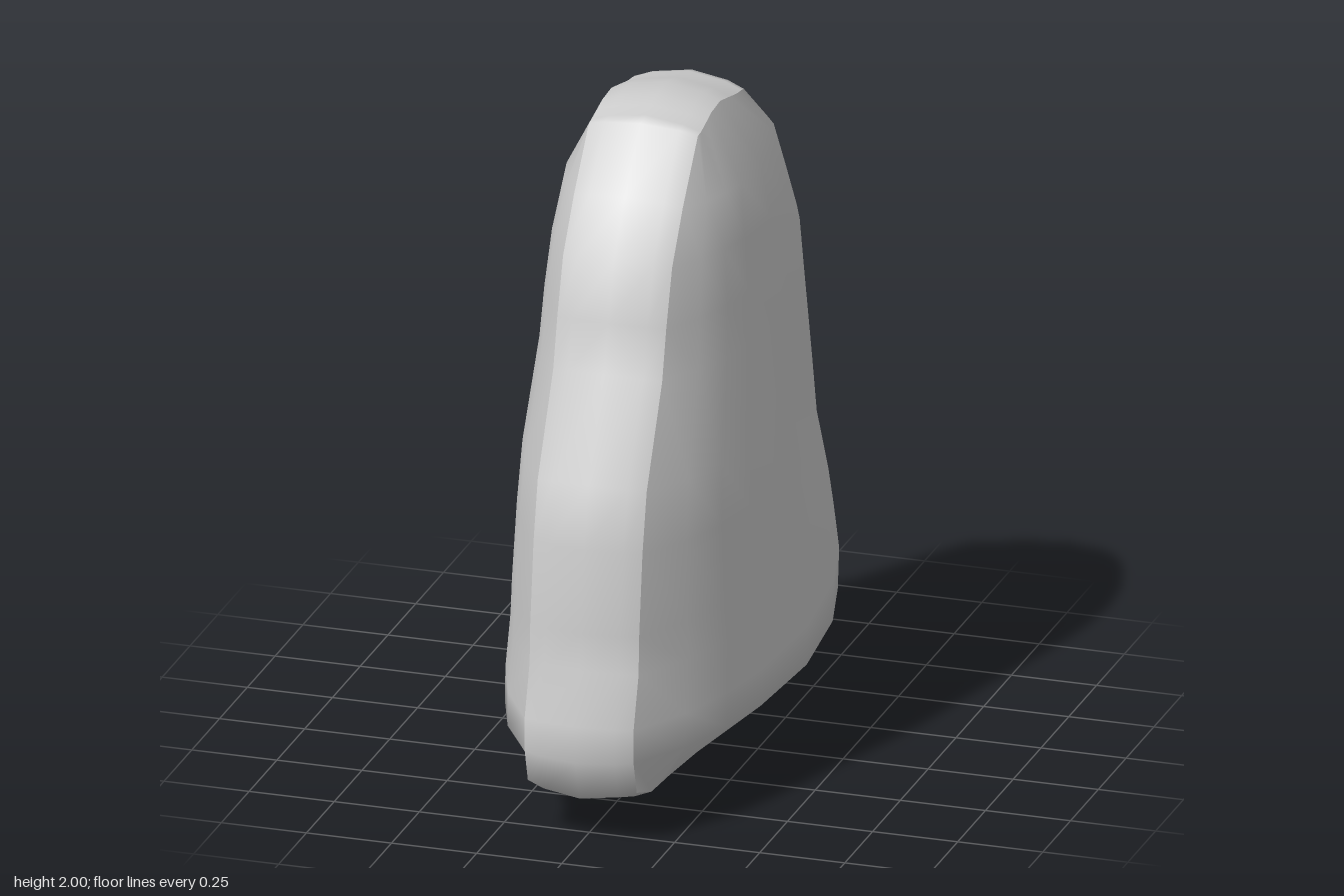
import * as THREE from 'three';
import { mergeVertices } from 'three/addons/utils/BufferGeometryUtils.js';

const material = new THREE.MeshStandardMaterial({ color: 0xcccccc, roughness: 0.8 });
const EDGE = 0.16;   // half width of the rim band
const INSET = 0.037; // how far the rim's edges drop below its crown

// Column positions from front (1) to back (-1), with the top and bottom profile heights
const cols = [1, 0.81, 0.6, 0.39, 0, -0.39, -0.67, -0.85, -1];
const topY = [1.96, 1.97, 1.982, 1.995, 2, 1.98, 1.965, 1.96, 1.95];
const bottomY = [0.14, 0.085, 0.073, 0.06, 0.02, 0.005, 0.025, 0.08, 0.13];

// Rows from top to bottom: front y, front z, back y, back z, half width
const rows = [
  [1.96, 0.29, 1.95, -0.17, 0.16],
  [1.79, 0.43, 1.79, -0.38, 0.27],
  [1.64, 0.53, 1.63, -0.48, 0.295],
  [1.47, 0.585, 1.48, -0.57, 0.315],
  [1.33, 0.62, 1.33, -0.6, 0.325],
  [1.05, 0.76, 1.05, -0.66, 0.35],
  [0.87, 0.8, 0.88, -0.69, 0.362],
  [0.63, 0.83, 0.69, -0.78, 0.38],
  [0.52, 0.835, 0.57, -0.82, 0.388],
  [0.37, 0.88, 0.42, -0.87, 0.397],
  [0.26, 0.88, 0.28, -0.85, 0.398],
  [0.14, 0.84, 0.13, -0.74, 0.16],
];
const last = rows.length - 1;
const n = cols.length - 1;
const mix = THREE.MathUtils.lerp;

// Smooth surface through a grid of [x, y, z] points
function surface(name, grid, flip = false) {
  const w = grid[0].length;
  const index = [];
  for (let r = 0; r < grid.length - 1; r++) {
    for (let c = 0; c < w - 1; c++) {
      const a = r * w + c, b = a + w, d = a + 1, e = b + 1;
      if (flip) index.push(a, e, b, a, d, e);
      else index.push(a, b, e, a, e, d);
    }
  }
  let geometry = new THREE.BufferGeometry();
  geometry.setAttribute('position', new THREE.Float32BufferAttribute(grid.flat(2), 3));
  geometry.setIndex(index);
  geometry = mergeVertices(geometry, 1e-5);
  geometry.computeVertexNormals();
  const mesh = new THREE.Mesh(geometry, material);
  mesh.name = name;
  return mesh;
}

// Closed side outline as [z, y]: over the top, down the back, under, up the front
function makeOutline() {
  const across = (row, ys) => cols.map((t, i) => [mix(row[3], row[1], (t + 1) / 2), ys[i]]);
  const middle = rows.slice(1, last);
  return [
    ...across(rows[0], topY),
    ...middle.map((r) => [r[3], r[2]]),
    ...across(rows[last], bottomY).reverse(),
    ...middle.map((r) => [r[1], r[0]]).reverse(),
  ];
}

// Outline moved inward along its normals
function inset(outline, amount) {
  const count = outline.length;
  return outline.map(([z, y], i) => {
    const p = outline[(i + count - 1) % count], q = outline[(i + 1) % count];
    const dz = q[0] - p[0], dy = q[1] - p[1], len = Math.hypot(dz, dy);
    return [z - (dy / len) * amount, y + (dz / len) * amount];
  });
}

export function createModel() {
  const group = new THREE.Group();
  group.name = 'roundedWedge';
  const outline = makeOutline();

  // Rim band with a gently crowned section
  const band = [-EDGE, -0.11, 0, 0.11, EDGE].map((x) => {
    const loop = inset(outline, INSET * (x / EDGE) ** 2);
    return [...loop, loop[0]].map(([z, y]) => [x, y, z]);
  });
  group.add(surface('rim', band));

  // Bulging sides, filled between the rim's edges
  const edge = inset(outline, INSET);
  const bottomStart = n + last; // back corner of the bottom
  const frontAt = (r) => edge[(bottomStart + n + last - r) % edge.length];
  const backAt = (r) => edge[n + r];
  for (const side of [1, -1]) {
    const grid = rows.map((row, r) => cols.map((t, c) => {
      const u = (t + 1) / 2;
      let [z, y] = [mix(backAt(r)[0], frontAt(r)[0], u), mix(backAt(r)[1], frontAt(r)[1], u)];
      if (r === 0) [z, y] = edge[c];
      if (r === last) [z, y] = edge[bottomStart + n - c];
      const x = EDGE + (row[4] - EDGE) * (1 - t * t) ** 0.8;
      return [side * x, y, z];
    }));
    group.add(surface(side > 0 ? 'leftSide' : 'rightSide', grid, side < 0));
  }
  return group;
}
